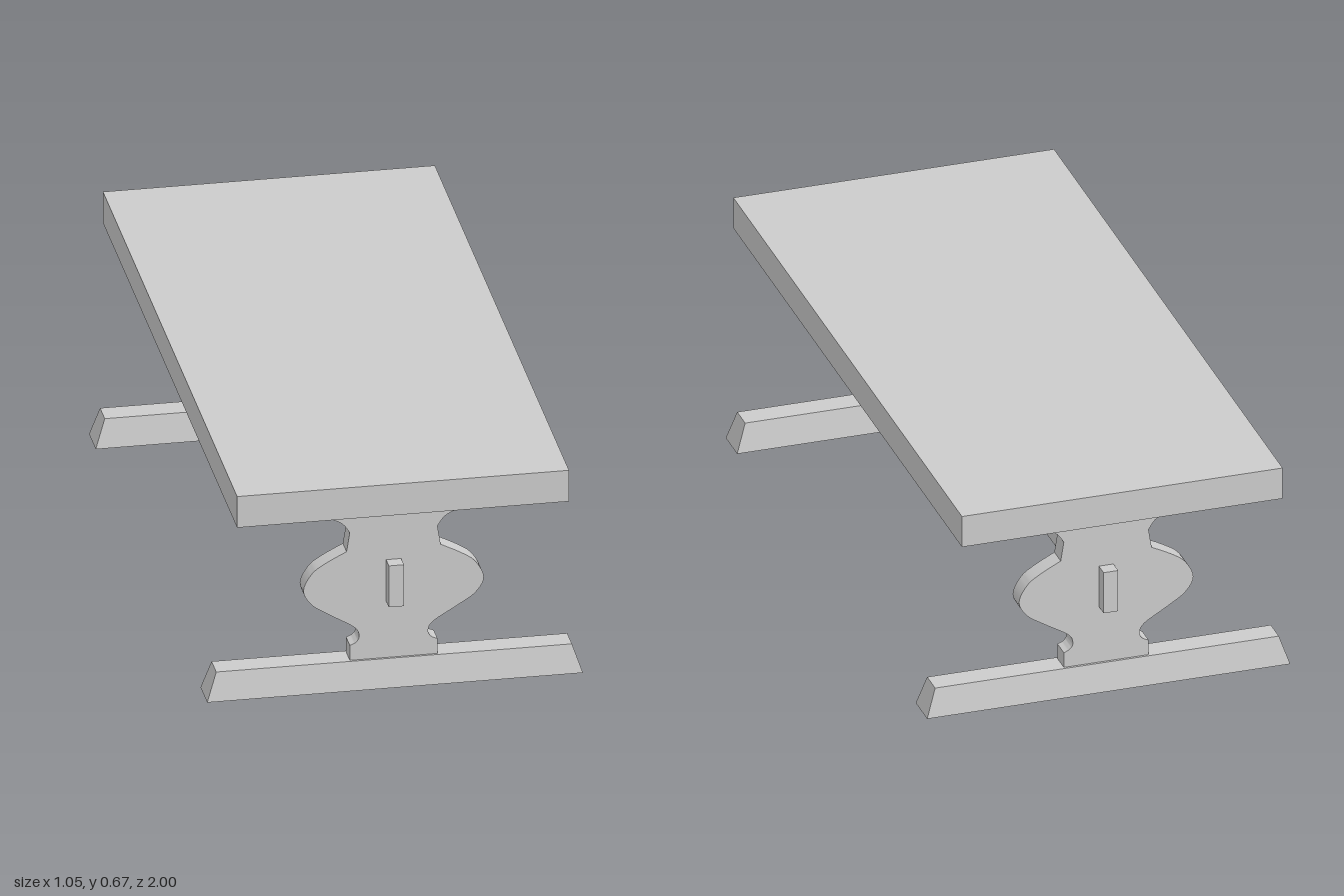
import * as THREE from 'three';
import { toCreasedNormals } from 'three/addons/utils/BufferGeometryUtils.js';

const material = new THREE.MeshStandardMaterial({ color: 0xcccccc });

function part(name, geometry, x = 0, y = 0, z = 0) {
  const mesh = new THREE.Mesh(geometry, material);
  mesh.name = name;
  mesh.position.set(x, y, z);
  return mesh;
}

// Extrude a shape centred on its depth, smooth along curves and sharp at corners
function slab(points, depth) {
  const geometry = new THREE.ExtrudeGeometry(new THREE.Shape(points), { depth, bevelEnabled: false });
  geometry.translate(0, 0, -depth / 2);
  return toCreasedNormals(geometry, 0.5);
}

function spline(points, segments) {
  const vectors = points.map(([x, y]) => new THREE.Vector2(x, y));
  return new THREE.SplineCurve(vectors).getPoints(segments);
}

// Scrolled trestle board, mirrored about x = 0
function trestleGeometry() {
  const right = [
    new THREE.Vector2(0.122, 0.08),
    ...spline([[0.122, 0.128], [0.104, 0.137], [0.096, 0.155], [0.11, 0.182], [0.179, 0.225],
      [0.228, 0.259], [0.251, 0.303], [0.228, 0.352], [0.19, 0.381], [0.131, 0.412]], 45),
    ...spline([[0.122, 0.468], [0.141, 0.495], [0.17, 0.511], [0.204, 0.516]], 12),
    new THREE.Vector2(0.202, 0.58),
  ];
  const left = right.map(p => new THREE.Vector2(-p.x, p.y)).reverse();
  return slab([...right, ...left], 0.056);
}

// Tapered foot: box with its upper vertices drawn in
function footGeometry() {
  const geometry = new THREE.BoxGeometry(1.046, 0.083, 0.1);
  const pos = geometry.attributes.position;
  for (let i = 0; i < pos.count; i++) {
    if (pos.getY(i) > 0) {
      pos.setX(i, Math.sign(pos.getX(i)) * 0.495);
      pos.setZ(i, Math.sign(pos.getZ(i)) * 0.035);
    }
  }
  geometry.computeVertexNormals();
  return geometry;
}

// Long rail with three carved swells on its upper and lower edges
function stretcherGeometry() {
  const middle = 0.316, half = 0.0625;
  const swells = [[-0.112, 0.05, 0.012], [0, 0.066, 0.032], [0.112, 0.05, 0.012]];
  const upper = [new THREE.Vector2(-0.9, half)];
  for (const [centre, radius, rise] of swells) {
    for (let i = 0; i <= 12; i++) {
      const t = -1 + i / 6;
      upper.push(new THREE.Vector2(centre + t * radius, half + rise * (1 - t * t)));
    }
  }
  upper.push(new THREE.Vector2(0.9, half));
  // Drop points that overlap a neighbouring swell
  const edge = upper.filter((p, i) => i === 0 || upper.slice(0, i).every(q => q.x < p.x));
  const lower = edge.map(p => new THREE.Vector2(p.x, -p.y)).reverse();
  const geometry = slab([...edge, ...lower], 0.042);
  geometry.rotateY(-Math.PI / 2);
  geometry.translate(0, middle, 0);
  return geometry;
}

export function createModel() {
  const table = new THREE.Group();
  table.name = 'trestleTable';

  table.add(part('tableTop', new THREE.BoxGeometry(0.924, 0.094, 2), 0, 0.625, 0));
  table.add(part('stretcher', stretcherGeometry()));

  const trestle = trestleGeometry();
  const foot = footGeometry();
  for (const [side, z] of [['front', 0.831], ['back', -0.831]]) {
    table.add(part(side + 'Trestle', trestle, 0, 0, z));
    table.add(part(side + 'Foot', foot, 0, 0.0415, z));
  }
  return table;
}
